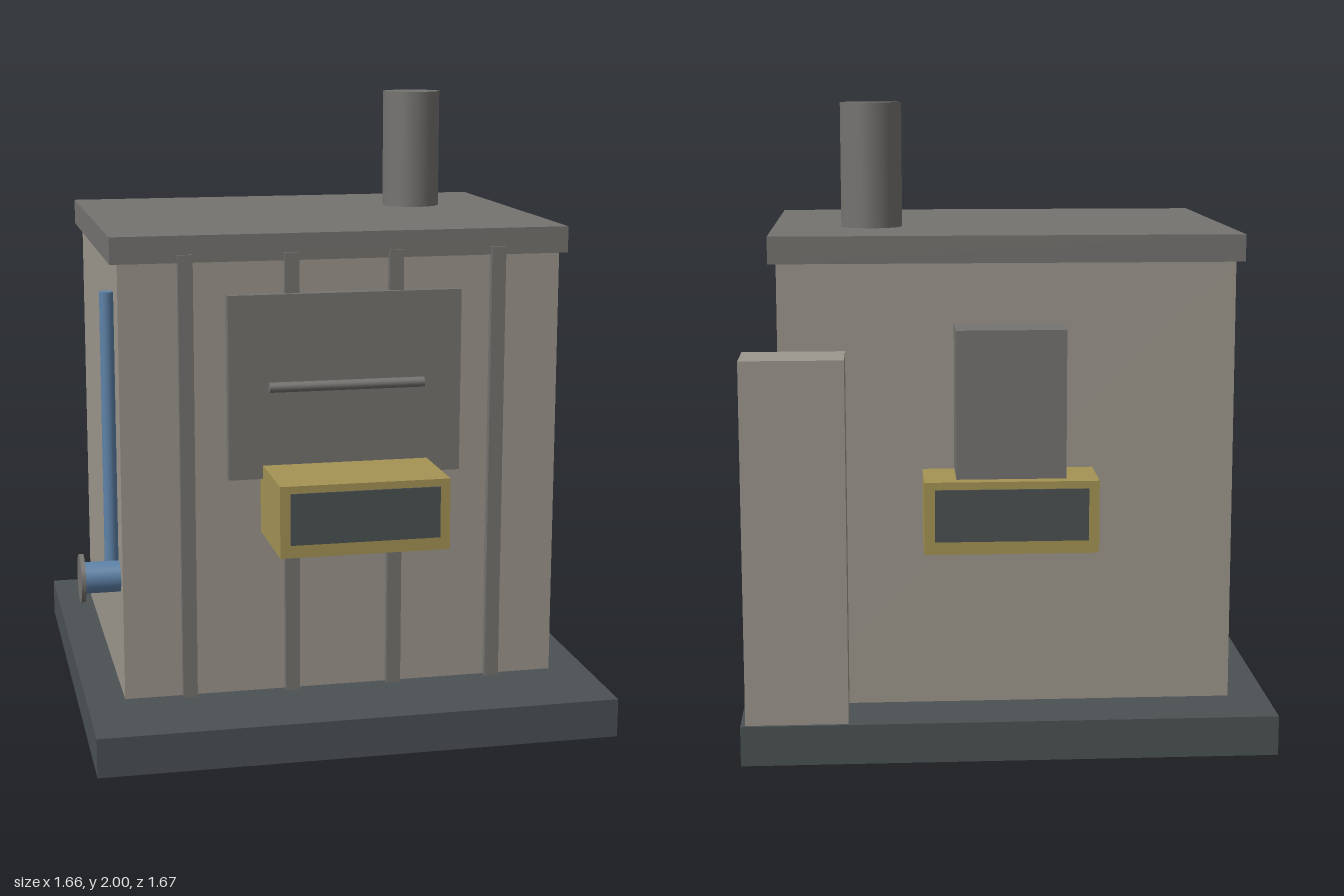
import * as THREE from 'three';

export function createModel() {
  const model = new THREE.Group();
  model.name = 'furnaceHouse';

  const mat = (name, color) => {
    const m = new THREE.MeshStandardMaterial({ color });
    m.name = name;
    return m;
  };
  const wall = mat('warm grey wall', 0x9c978d);
  const metal = mat('grey metal', 0x757370);
  const dark = mat('dark slate', 0x4b5153);
  const brass = mat('brass', 0xa59354);
  const blue = mat('blue pipe', 0x5e82a8);

  const add = (name, geometry, material) => {
    const mesh = new THREE.Mesh(geometry, material);
    mesh.name = name;
    model.add(mesh);
    return mesh;
  };
  // Box given by its extents along each axis
  const box = (name, material, [x0, x1], [y0, y1], [z0, z1]) => {
    const mesh = add(name, new THREE.BoxGeometry(x1 - x0, y1 - y0, z1 - z0), material);
    mesh.position.set((x0 + x1) / 2, (y0 + y1) / 2, (z0 + z1) / 2);
  };
  // Cylinder running between two points
  const rod = (name, material, radius, from, to) => {
    const a = new THREE.Vector3(...from), b = new THREE.Vector3(...to);
    const mesh = add(name, new THREE.CylinderGeometry(radius, radius, a.distanceTo(b), 32), material);
    mesh.position.copy(a).add(b).multiplyScalar(0.5);
    mesh.quaternion.setFromUnitVectors(new THREE.Vector3(0, 1, 0), b.sub(a).normalize());
  };

  // Main housing
  box('base', dark, [-0.83, 0.83], [0, 0.125], [-0.83, 0.83]);
  box('body', wall, [-0.707, 0.707], [0.125, 1.52], [-0.62, 0.507]);
  box('roof', metal, [-0.731, 0.731], [1.52, 1.604], [-0.648, 0.522]);
  box('cornerCabinet', wall, [0.5, 0.815], [0.125, 1.25], [-0.82, -0.625]);
  rod('chimney', metal, 0.098, [0.415, 1.6, -0.25], [0.415, 2, -0.25]);

  // Front ribs, door and handle
  for (const x of [-0.5, -0.167, 0.167, 0.5]) {
    box('frontRib', metal, [x - 0.023, x + 0.023], [0.125, 1.545], [0.5, 0.532]);
  }
  box('door', metal, [-0.373, 0.373], [0.835, 1.418], [0.51, 0.55]);
  rod('doorHandle', metal, 0.016, [-0.248, 1.13, 0.57], [0.248, 1.13, 0.57]);

  // Front and back brass ports with dark openings
  for (const [side, inner] of [[1, 0.5], [-1, 0.61]]) {
    const span = (a, b) => [side * a, side * b].sort((p, q) => p - q);
    box('port', brass, [-0.265, 0.265], [0.655, 0.878], span(inner, 0.83));
    box('portOpening', dark, [-0.233, 0.233], [0.695, 0.855], span(0.829, 0.835));
  }
  box('backHousing', metal, [-0.168, 0.166], [0.8, 1.332], [-0.79, -0.61]);

  // Side pipework
  rod('uprightPipe', blue, 0.023, [-0.727, 0.48, 0.378], [-0.727, 1.418, 0.378]);
  rod('inletPipe', blue, 0.05, [-0.7, 0.505, 0.41], [-0.825, 0.505, 0.41]);
  rod('inletFlange', metal, 0.077, [-0.82, 0.505, 0.41], [-0.834, 0.505, 0.41]);

  return model;
}
